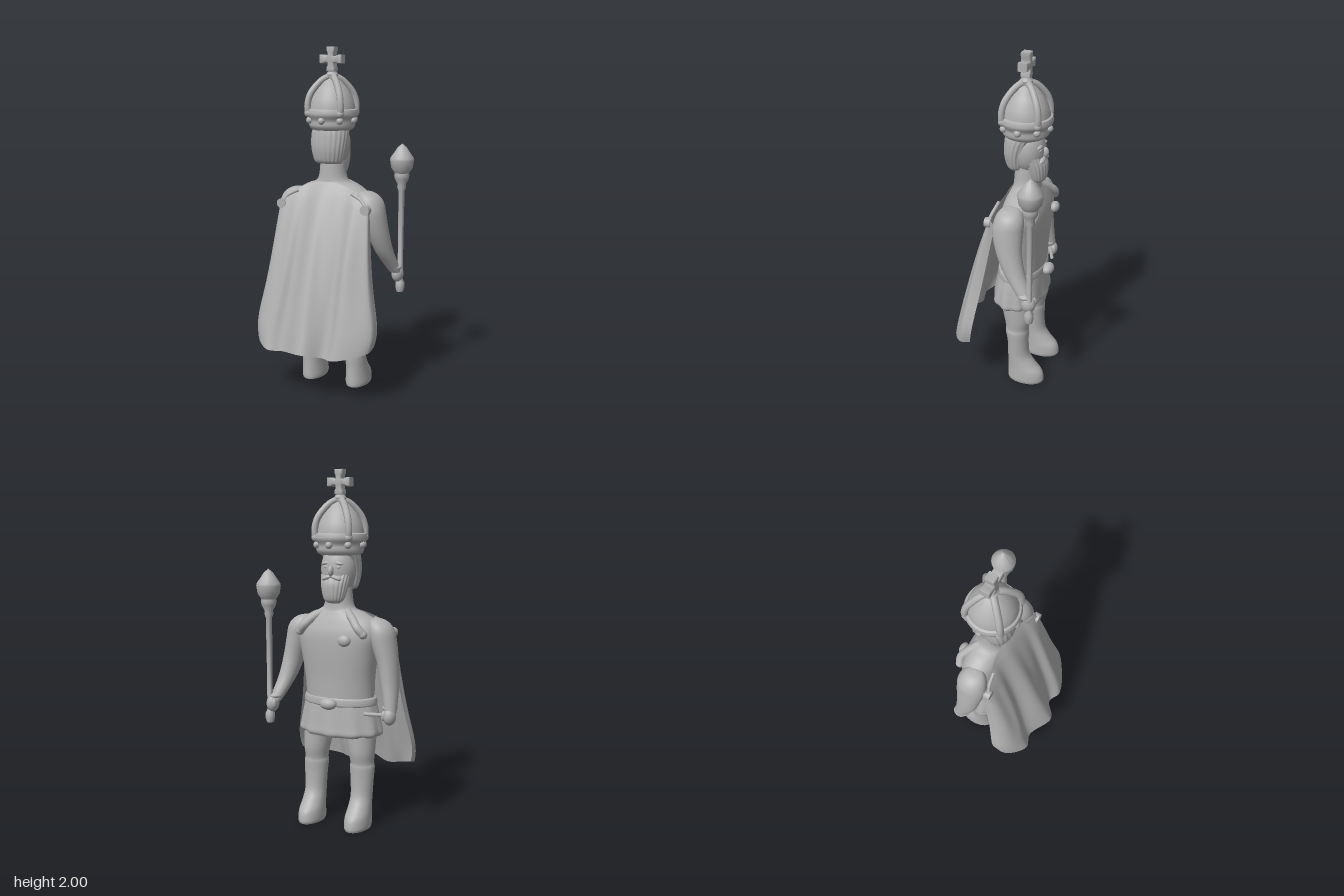
import * as THREE from 'three';
import { toCreasedNormals } from 'three/addons/utils/BufferGeometryUtils.js';

const stone = new THREE.MeshStandardMaterial({ color: 0xb0b0b0, side: THREE.DoubleSide });
stone.name = 'grey stone';
const CX = -0.035; // the body's centre line
const V = (x, y, z) => new THREE.Vector3(x, y, z);

function add(parent, name, geometry, x = 0, y = 0, z = 0, sx = 1, sy = 1, sz = 1) {
  const m = new THREE.Mesh(geometry, stone);
  m.name = name;
  m.position.set(x, y, z);
  m.scale.set(sx, sy, sz);
  parent.add(m);
  return m;
}
const ball = (parent, name, x, y, z, sx, sy = sx, sz = sx) =>
  add(parent, name, new THREE.SphereGeometry(1, 24, 16), x, y, z, sx, sy, sz);
const tube = (pts, r) => new THREE.TubeGeometry(new THREE.CatmullRomCurve3(pts), 24, r, 10);
const lathe = (pts, n = 40) => toCreasedNormals(
  new THREE.LatheGeometry(pts.map(p => new THREE.Vector2(p[0], p[1])), n), 0.7);

// Smooth body through level ellipses, listed bottom to top as [y, cx, cz, rx, rz]
function loft(rows, fold = () => 1, n = 48) {
  const mid = new THREE.CatmullRomCurve3(rows.map(r => V(r[1], r[0], r[2])));
  const rad = new THREE.CatmullRomCurve3(rows.map(r => V(r[3], 0, r[4])));
  mid.curveType = rad.curveType = 'catmullrom';
  const steps = (rows.length - 1) * 5, pos = [], idx = [];
  const ring = t => {
    const c = mid.getPoint(t), r = rad.getPoint(t);
    for (let j = 0; j < n; j++) {
      const a = j / n * Math.PI * 2, f = fold(a, t);
      pos.push(c.x + r.x * f * Math.cos(a), c.y, c.z + r.z * f * Math.sin(a));
    }
    return c;
  };
  for (let i = 0; i <= steps; i++) ring(i / steps);
  for (let i = 0; i < steps; i++) for (let j = 0; j < n; j++) {
    const k = (j + 1) % n, a = i * n + j, b = i * n + k;
    idx.push(a, a + n, b, b, a + n, b + n);
  }
  for (const t of [0, 1]) {
    const s = pos.length / 3, c = ring(t);
    pos.push(c.x, c.y, c.z);
    for (let j = 0; j < n; j++) {
      const k = (j + 1) % n;
      idx.push(s + n, s + (t ? k : j), s + (t ? j : k));
    }
  }
  const g = new THREE.BufferGeometry();
  g.setAttribute('position', new THREE.Float32BufferAttribute(pos, 3));
  g.setIndex(idx);
  g.computeVertexNormals();
  return g;
}

// Cape: a sheet stretched between the shoulder line and the wavy hem
function capeGeometry() {
  const top = new THREE.CatmullRomCurve3([V(-0.31, 1.09, -0.01), V(-0.315, 1.13, 0.015), V(-0.24, 1.18, 0.005),
    V(-0.15, 1.22, -0.02), V(CX, 1.24, -0.025), V(0.08, 1.22, -0.02), V(0.17, 1.18, 0.005),
    V(0.245, 1.13, 0.015), V(0.24, 1.09, -0.01)]);
  const hem = new THREE.CatmullRomCurve3([V(-0.39, 0.34, 0.115), V(-0.385, 0.32, 0.185), V(-0.275, 0.28, 0.275),
    V(-0.19, 0.275, 0.25), V(CX, 0.297, 0.318), V(0.07, 0.275, 0.248), V(0.15, 0.28, 0.278),
    V(0.32, 0.32, 0.185), V(0.33, 0.34, 0.115)]);
  const g = new THREE.PlaneGeometry(1, 1, 80, 24), p = g.attributes.position;
  for (let i = 0; i < p.count; i++) {
    const u = p.getX(i) + 0.5, v = 0.5 - p.getY(i);
    const q = top.getPoint(u).lerp(hem.getPoint(u), v);
    const bow = Math.sin(Math.PI * Math.pow(v, 0.6)) * Math.sin(Math.PI * u);
    q.z += 0.03 * bow + 0.006 * Math.sin(u * 44) * v * (1 - v) * 4;
    // the lower corners swell outward, then tuck in at the hem
    q.x += (q.x - CX) * 0.07 * Math.sin(Math.PI * Math.pow(v, 4));
    p.setXYZ(i, q.x, q.y, q.z);
  }
  g.computeVertexNormals();
  return g;
}

function buildCrown() {
  const crown = new THREE.Group();
  crown.name = 'crown';
  crown.position.set(CX, 0, -0.088);
  add(crown, 'crownBand', lathe([[0, 1.535], [0.112, 1.535], [0.126, 1.545], [0.134, 1.565], [0.13, 1.58],
    [0.134, 1.6], [0.148, 1.612], [0.152, 1.63], [0.145, 1.65], [0.125, 1.658]]));
  add(crown, 'crownCap', lathe([[0.134, 1.62], [0.134, 1.66], [0.12, 1.71], [0.09, 1.765], [0.05, 1.81], [0, 1.84]]));
  for (let i = 0; i < 8; i++) {
    const a = i * Math.PI / 4, c = Math.cos(a), s = Math.sin(a);
    ball(crown, 'jewel', 0.135 * c, 1.59, 0.135 * s, 0.02);
    if (i % 2) {
      const arch = [[0.142, 1.62], [0.147, 1.67], [0.133, 1.73], [0.098, 1.78], [0.052, 1.82], [0, 1.84]];
      add(crown, 'crownArch', tube(arch.map(([r, y]) => V(r * c, y, r * s)), 0.019));
      ball(crown, 'archFoot', 0.142 * c, 1.63, 0.142 * s, 0.023);
    }
  }
  add(crown, 'crossStem', lathe([[0.03, 1.82], [0.036, 1.845], [0.022, 1.865], [0.016, 1.89]], 20));
  // Cross with flared ends
  const armOutline = [[0.05, -0.02], [0.064, -0.019], [0.064, 0.019], [0.05, 0.02], [0.036, 0.013], [0.013, 0.013]];
  const outline = [];
  for (let k = 0; k < 4; k++) {
    const c = Math.round(Math.cos(k * Math.PI / 2)), s = Math.round(Math.sin(k * Math.PI / 2));
    for (const [x, y] of [[0.036, -0.013], ...armOutline]) outline.push(new THREE.Vector2(x * c - y * s, x * s + y * c));
  }
  const cross = new THREE.ExtrudeGeometry(new THREE.Shape(outline),
    { depth: 0.04, bevelSize: 0.005, bevelThickness: 0.007, bevelSegments: 3 });
  add(crown, 'cross', toCreasedNormals(cross.translate(0, 0, -0.02), 0.8), 0, 1.931, 0);
  return crown;
}

function buildHead() {
  const head = new THREE.Group();
  head.name = 'head';
  head.position.set(CX, 0, 0);
  ball(head, 'face', 0, 1.455, -0.105, 0.1, 0.14, 0.095);
  // Combed hair at the back and sides
  const strands = (a, t) => 1 + 0.025 * Math.sin(a * 22) * (1 - 0.5 * t);
  add(head, 'hair', loft([[1.345, 0, -0.045, 0.075, 0.045], [1.365, 0, -0.045, 0.088, 0.062],
    [1.43, 0, -0.045, 0.104, 0.075], [1.5, 0, -0.06, 0.11, 0.088], [1.55, 0, -0.08, 0.106, 0.1]], strands, 132));
  add(head, 'beard', loft([[1.272, 0, -0.165, 0.035, 0.024], [1.29, 0, -0.165, 0.056, 0.042], [1.33, 0, -0.16, 0.07, 0.055],
    [1.38, 0, -0.152, 0.08, 0.062], [1.43, 0, -0.14, 0.086, 0.052]], a => 1 + 0.025 * Math.sin(a * 20), 120));
  ball(head, 'nose', 0, 1.45, -0.2, 0.016, 0.03, 0.022);
  for (const s of [-1, 1]) {
    ball(head, 'moustache', s * 0.028, 1.413, -0.195, 0.034, 0.013, 0.016).rotation.z = -s * 0.3;
    ball(head, 'eyebrow', s * 0.038, 1.492, -0.183, 0.03, 0.01, 0.013).rotation.z = -s * 0.15;
    ball(head, 'eye', s * 0.036, 1.47, -0.185, 0.015, 0.009, 0.01);
  }
  return head;
}

export function createModel() {
  const model = new THREE.Group();
  model.name = 'crownedFigure';
  model.add(buildCrown(), buildHead());

  // Torso with a squarish chest, neck, belt and pleated skirt
  add(model, 'torso', loft([[0.7, CX, -0.085, 0.205, 0.125], [0.85, CX, -0.089, 0.21, 0.125], [1.0, CX, -0.098, 0.23, 0.125],
    [1.1, CX, -0.102, 0.25, 0.119], [1.17, CX, -0.1, 0.23, 0.102], [1.215, CX, -0.1, 0.16, 0.085],
    [1.25, CX, -0.1, 0.09, 0.076], [1.37, CX, -0.1, 0.072, 0.068]],
    (a, t) => 1 + 0.07 * Math.sin(2 * a) ** 2 * Math.sin(Math.PI * Math.min(1, t * 1.3))));
  add(model, 'skirt', loft([[0.52, CX, -0.075, 0.23, 0.143], [0.54, CX, -0.075, 0.25, 0.154], [0.58, CX, -0.075, 0.245, 0.15],
    [0.64, CX, -0.077, 0.233, 0.142], [0.7, CX, -0.08, 0.219, 0.133], [0.74, CX, -0.082, 0.209, 0.127]],
    (a, t) => 1 + 0.03 * (1 - t) * Math.sin(a * 11), 88));
  add(model, 'belt', loft([[0.695, CX, -0.082, 0.214, 0.131], [0.705, CX, -0.082, 0.222, 0.136], [0.735, CX, -0.082, 0.219, 0.134],
    [0.745, CX, -0.082, 0.21, 0.128]]));
  ball(model, 'buckle', CX, 0.715, -0.235, 0.05, 0.033, 0.034);
  ball(model, 'medal', -0.133, 1.075, -0.235, 0.038, 0.032, 0.026);
  add(model, 'daggerHilt', tube([V(-0.35, 0.665, -0.14), V(-0.29, 0.668, -0.17), V(-0.235, 0.67, -0.19)], 0.011));

  // Legs with boots, collar rolls, cords and cape buttons
  for (const s of [-1, 1]) {
    const x = d => CX + s * d;
    add(model, 'bootedLeg', loft([[0, x(0.148), -0.156, 0.066, 0.109], [0.02, x(0.148), -0.157, 0.07, 0.113],
      [0.07, x(0.148), -0.152, 0.068, 0.106], [0.12, x(0.148), -0.13, 0.064, 0.083], [0.18, x(0.148), -0.11, 0.062, 0.066],
      [0.27, x(0.148), -0.105, 0.067, 0.063], [0.34, x(0.147), -0.1, 0.071, 0.07], [0.37, x(0.146), -0.1, 0.067, 0.069],
      [0.43, x(0.143), -0.1, 0.075, 0.08], [0.52, x(0.135), -0.09, 0.085, 0.092], [0.58, x(0.128), -0.085, 0.09, 0.1]]));
    add(model, 'collarRoll', tube([V(x(0.07), 1.225, -0.14), V(x(0.12), 1.19, -0.178), V(x(0.165), 1.145, -0.208),
      V(x(0.195), 1.11, -0.2)], 0.024));
    ball(model, 'collarRollEnd', x(0.195), 1.11, -0.2, 0.024);
    add(model, 'capeCord', tube([V(x(0.265), 1.115, 0.028), V(x(0.235), 1.15, 0.016), V(x(0.17), 1.185, 0.006)], 0.01));
    add(model, 'capeButton', new THREE.CylinderGeometry(0.028, 0.028, 0.035, 24), x(0.268), 1.102, 0.03)
      .rotation.x = Math.PI / 2;
  }
  add(model, 'cape', capeGeometry());

  // Arms: one reaches forward, the other hangs
  add(model, 'leftArm', loft([[0.7, 0.315, -0.225, 0.034, 0.036], [0.75, 0.3, -0.195, 0.042, 0.045],
    [0.84, 0.277, -0.14, 0.052, 0.06], [0.95, 0.256, -0.1, 0.061, 0.074], [1.06, 0.231, -0.083, 0.072, 0.087],
    [1.12, 0.216, -0.085, 0.075, 0.084], [1.16, 0.202, -0.085, 0.065, 0.07], [1.185, 0.187, -0.085, 0.04, 0.045],
    [1.193, 0.178, -0.085, 0.005, 0.006]]));
  add(model, 'rightArm', loft([[0.68, -0.368, -0.135, 0.033, 0.036], [0.75, -0.36, -0.118, 0.041, 0.048],
    [0.84, -0.347, -0.098, 0.05, 0.063], [0.95, -0.33, -0.088, 0.058, 0.074], [1.06, -0.301, -0.083, 0.072, 0.087],
    [1.12, -0.286, -0.085, 0.075, 0.084], [1.16, -0.272, -0.085, 0.065, 0.07], [1.185, -0.257, -0.085, 0.04, 0.045],
    [1.193, -0.248, -0.085, 0.005, 0.006]]));
  for (const [side, x, y, z] of [['left', 0.322, 0.685, -0.24], ['right', -0.367, 0.66, -0.142]]) {
    ball(model, side + 'Hand', x, y, z, 0.035, 0.05, 0.042);
    ball(model, side + 'Cuff', x - 0.008 * Math.sign(x), y + 0.045, z + 0.02, 0.042, 0.02, 0.045);
    ball(model, side + 'Thumb', x - 0.025 * Math.sign(x), y + 0.005, z - 0.025, 0.014, 0.028, 0.016);
  }

  // Sceptre
  add(model, 'sceptre', lathe([[0, 0.57], [0.02, 0.575], [0.027, 0.6], [0.026, 0.63], [0.016, 0.65], [0.016, 0.9],
    [0.018, 1.18], [0.026, 1.2], [0.024, 1.22], [0.04, 1.25], [0.044, 1.27], [0.042, 1.285], [0.062, 1.315],
    [0.069, 1.36], [0.068, 1.372], [0.045, 1.405], [0.025, 1.435], [0, 1.455]]), 0.335, 0, -0.25);
  return model;
}
